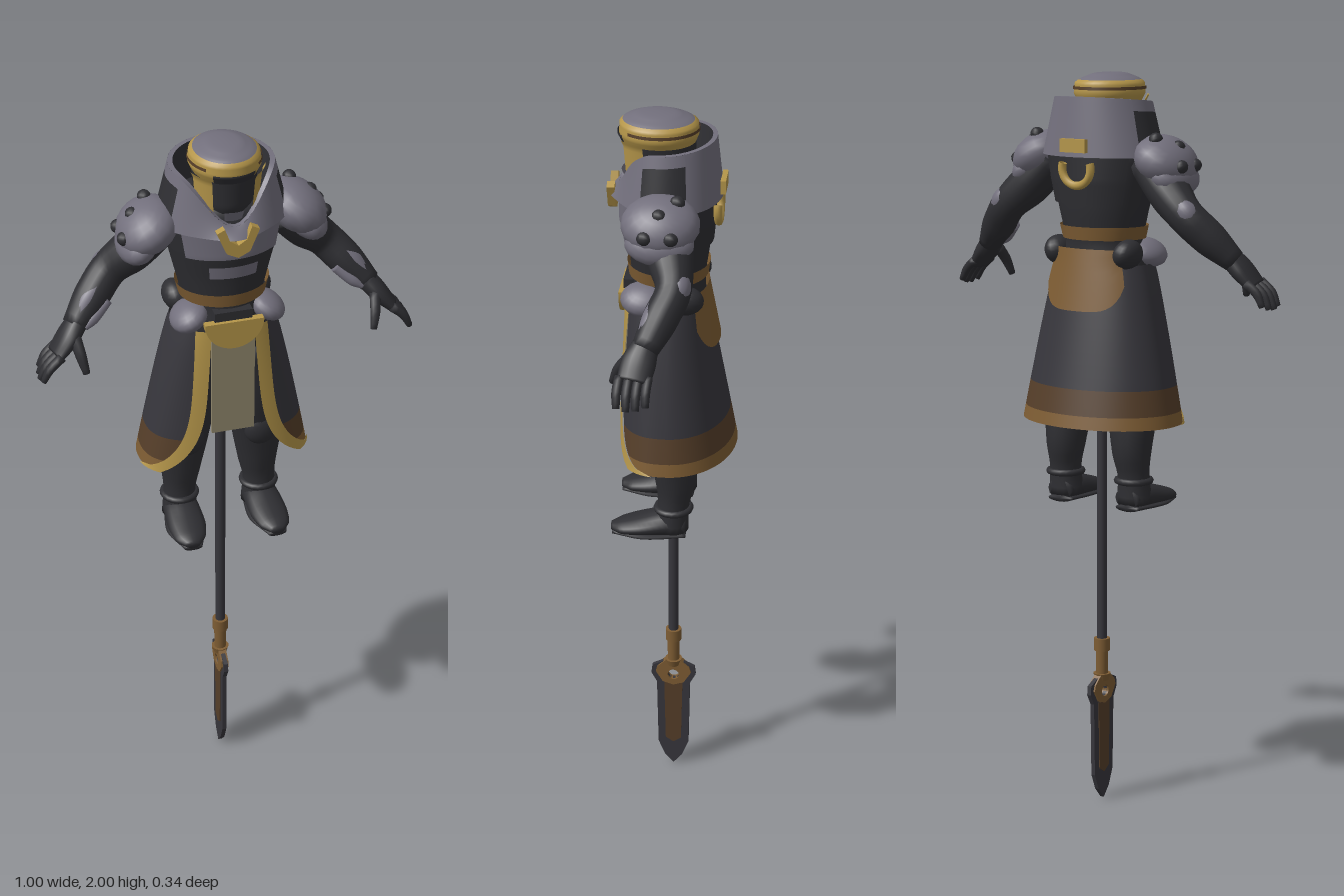
import * as THREE from 'three';
import { mergeVertices } from 'three/addons/utils/BufferGeometryUtils.js';

const paint = (name, color) => {
  const m = new THREE.MeshStandardMaterial({ color, side: THREE.DoubleSide });
  m.name = name;
  return m;
};
const PI = Math.PI;

// Smooth surface from a rule f(u, v) -> [x, y, z]
function grid(f, nu, nv) {
  const pos = [], idx = [];
  for (let j = 0; j <= nv; j++) for (let i = 0; i <= nu; i++) pos.push(...f(i / nu, j / nv));
  for (let j = 0; j < nv; j++) for (let i = 0; i < nu; i++) {
    const a = j * (nu + 1) + i, b = a + 1, c = a + nu + 1, d = c + 1;
    idx.push(a, b, d, a, d, c);
  }
  let g = new THREE.BufferGeometry();
  g.setAttribute('position', new THREE.Float32BufferAttribute(pos, 3));
  g.setIndex(idx);
  g = mergeVertices(g, 1e-5);
  g.computeVertexNormals();
  return g;
}

// Closed limb through [x, y, z, radiusA, radiusB] points
function limb(pts, ref = [0, 0, 1], nu = 16, nv = 20) {
  const path = new THREE.CatmullRomCurve3(pts.map(p => new THREE.Vector3(p[0], p[1], p[2])));
  const size = new THREE.CatmullRomCurve3(pts.map(p => new THREE.Vector3(p[3], p[4], 0)));
  const R = new THREE.Vector3(...ref);
  return grid((u, v) => {
    const t = Math.min(1, Math.max(0, (v * nv - 1) / (nv - 2)));
    const end = v === 0 || v === 1 ? 0 : 1;
    const p = path.getPoint(t), s = size.getPoint(t), T = path.getTangent(t);
    const A = new THREE.Vector3().crossVectors(T, R).normalize();
    const B = new THREE.Vector3().crossVectors(T, A);
    p.addScaledVector(A, end * s.x * Math.cos(u * 2 * PI)).addScaledVector(B, end * s.y * Math.sin(u * 2 * PI));
    return [p.x, p.y, p.z];
  }, nu, nv);
}

// Body of oval sections [y, rx, rz, cz]; angle 0 faces the front
const body = table => (a, y, off = 0) => {
  let i = 0;
  while (i < table.length - 2 && y > table[i + 1][0]) i++;
  const p = table[i], q = table[i + 1];
  const t = Math.min(1, Math.max(0, (y - p[0]) / (q[0] - p[0])));
  const s = k => p[k] + (q[k] - p[k]) * t;
  return [(s(1) + off) * Math.sin(a), y, s(3) + (s(2) + off) * Math.cos(a)];
};
const patch = (f, a0, a1, y0, y1, off = 0, nu = 32, nv = 14) =>
  grid((u, v) => f(a0 + (a1 - a0) * u, y0 + (y1 - y0) * v, off), nu, nv);

const ball = (x, y, z, rx, ry, rz, tilt = 0, n = 18) =>
  new THREE.SphereGeometry(1, n, Math.ceil(n * 0.7)).scale(rx, ry, rz).rotateZ(tilt).translate(x, y, z);

function plate(points, depth, hole) {
  const s = new THREE.Shape(points.map(p => new THREE.Vector2(...p)));
  if (hole) s.holes.push(new THREE.Path().absarc(0, hole[0], hole[1], 0, 2 * PI, true));
  return new THREE.ExtrudeGeometry(s, { depth, bevelEnabled: false, curveSegments: 16 }).translate(0, 0, -depth / 2);
}
const both = half => [...half, ...half.slice().reverse().filter(p => p[0] !== 0).map(p => [-p[0], p[1]])];

function mirrored(g) {
  const m = g.toNonIndexed().scale(-1, 1, 1);
  for (const { itemSize: n, count, array: a } of Object.values(m.attributes)) {
    for (let i = 0; i < count; i += 3) for (let k = 0; k < n; k++) {
      const p = (i + 1) * n + k, q = p + n;
      [a[p], a[q]] = [a[q], a[p]];
    }
  }
  return m;
}

export function createModel() {
  const dark = paint('dark suit', 0x2e2e32), cloth = paint('robe cloth', 0x37363c);
  const grey = paint('grey armour', 0x726f7c), gold = paint('gold trim', 0xb5964a);
  const bronze = paint('bronze', 0x7d5c33), brown = paint('brown leather', 0x553e29);
  const khaki = paint('khaki cloth', 0x8f866c);
  const root = new THREE.Group();
  const add = (name, g, m) => {
    const mesh = new THREE.Mesh(g, m);
    mesh.name = name;
    root.add(mesh);
  };
  const pair = (name, g, m) => { add(name + 'Left', g, m); add(name + 'Right', mirrored(g), m); };

  // Torso and its armour
  const torso = body([[1.42, 0.13, 0.1, 0.01], [1.5, 0.125, 0.1, 0.015], [1.56, 0.105, 0.095, 0.012],
    [1.64, 0.125, 0.105, 0.01], [1.72, 0.145, 0.115, 0.012], [1.79, 0.16, 0.115, 0.012],
    [1.84, 0.14, 0.1, 0.01], [1.86, 0.06, 0.06, 0.01]]);
  add('torso', patch(torso, 0, 2 * PI, 1.42, 1.86, 0, 40, 24), dark);
  add('chestPlate', patch(torso, -0.85, 0.85, 1.715, 1.81, 0.012), grey);
  add('abdomenPlate', patch(torso, -0.45, 0.45, 1.655, 1.69, 0.01), grey);
  add('backPlate', patch(torso, PI - 0.9, PI + 0.9, 1.66, 1.8, 0.008), dark);
  add('belt', patch(torso, 0, 2 * PI, 1.565, 1.6, 0.008, 40, 3), bronze);
  add('chestChevron', plate(both([[0, 1.735], [0.03, 1.75], [0.055, 1.81], [0.035, 1.82], [0.022, 1.785], [0, 1.77]]), 0.02)
    .translate(0, 0, 0.155), gold);
  add('backCrescent', new THREE.TorusGeometry(0.045, 0.011, 8, 24, PI * 1.2).rotateZ(-PI * 1.1)
    .translate(0, 1.755, -0.118), gold);
  add('backClasp', new THREE.BoxGeometry(0.08, 0.035, 0.014).translate(0, 1.815, -0.13), gold);

  // Standing collar, low at the front
  const rim = a => 1.93 - 0.01 * Math.cos(a) - 0.11 * Math.max(0, Math.cos(a)) ** 4;
  const collar = (r0, r1, lo) => (a, t) => {
    const rx = r0[0] + (r1[0] - r0[0]) * t, rz = r0[1] + (r1[1] - r0[1]) * t;
    const nose = 0.022 * Math.max(0, Math.cos(a)) ** 12 * (1 - t * 0.5);
    return [rx * Math.sin(a), lo + (rim(a) - lo) * t, 0.008 + rz * Math.cos(a) + nose];
  };
  const outer = collar([0.172, 0.137], [0.135, 0.12], 1.785);
  const lining = collar([0.1, 0.095], [0.122, 0.108], 1.8);
  add('collarFront', patch(outer, -1.1, 1.1, 0, 1), grey);
  add('collarBack', patch(outer, 2.0, 2 * PI - 2.0, 0, 1), grey);
  pair('collarSide', patch(outer, 1.1, 2.0, 0, 0.8), dark);
  pair('collarSideRim', patch(outer, 1.1, 2.0, 0.8, 1), grey);
  add('collarLip', grid((u, v) => {
    const p = outer(u * 2 * PI, 1), q = lining(u * 2 * PI, 1);
    return p.map((c, k) => c + (q[k] - c) * v);
  }, 48, 1), grey);
  add('collarLining', patch(lining, 0, 2 * PI, 0, 1, 0, 48, 6), dark);

  // Helmet
  const helm = body([[1.8, 0.06, 0.07, 0.03], [1.85, 0.075, 0.09, 0.032], [1.925, 0.082, 0.093, 0.035],
    [1.945, 0.092, 0.102, 0.036], [1.975, 0.088, 0.1, 0.036], [1.985, 0.07, 0.083, 0.038],
    [1.997, 0.04, 0.05, 0.038], [2, 0, 0, 0.038]]);
  add('face', patch(helm, 0, 2 * PI, 1.8, 1.925), dark);
  add('helmetBand', patch(helm, 0, 2 * PI, 1.925, 1.98, 0, 36, 8), gold);
  add('helmetBandGroove', patch(helm, 0.8, 2 * PI - 0.8, 1.955, 1.963, 0.003, 30, 2), brown);
  add('helmetTop', patch(helm, 0, 2 * PI, 1.98, 2, 0, 36, 8), grey);
  add('visor', patch(helm, -0.6, 0.6, 1.925, 1.95, 0.004), dark);
  pair('cheekGuard', patch(helm, 0.62, 1.25, 1.84, 1.94, 0.012), gold);
  add('chinGuard', patch(helm, -0.3, 0.3, 1.805, 1.845, 0.012), grey);

  // Shoulders
  pair('shoulderPad', ball(0.195, 1.775, 0.012, 0.085, 0.062, 0.1, -0.55), grey);
  pair('shoulderLame', ball(0.222, 1.735, 0.012, 0.058, 0.045, 0.088, -0.7), grey);
  for (const [x, y, z] of [[0.262, 1.765, 0.045], [0.262, 1.765, -0.02], [0.232, 1.812, 0.012], [0.19, 1.833, -0.03]])
    pair('shoulderStud', ball(x, y, z, 0.018, 0.018, 0.02, 0, 10), dark);

  // Arms
  pair('arm', limb([[0.15, 1.77, 0, 0.05, 0.06], [0.22, 1.7, -0.015, 0.056, 0.06], [0.285, 1.64, -0.03, 0.048, 0.046],
    [0.335, 1.588, -0.005, 0.047, 0.046], [0.395, 1.525, 0.03, 0.03, 0.035]]), dark);
  pair('elbowPlate', ball(0.292, 1.652, -0.045, 0.042, 0.032, 0.03, -0.8), grey);
  pair('forearmPlate', limb([[0.315, 1.628, -0.01, 0.02, 0.03], [0.352, 1.592, 0.005, 0.026, 0.036],
    [0.392, 1.545, 0.026, 0.016, 0.028]]), grey);
  pair('forearmInnerPlate', limb([[0.305, 1.578, 0.015, 0.016, 0.02], [0.345, 1.545, 0.035, 0.018, 0.02],
    [0.372, 1.525, 0.045, 0.01, 0.015]]), grey);
  pair('hand', limb([[0.385, 1.535, 0.028, 0.028, 0.034], [0.415, 1.5, 0.042, 0.026, 0.044],
    [0.448, 1.463, 0.052, 0.018, 0.042]]), dark);
  for (let i = 0; i < 4; i++) {
    const z = 0.016 + i * 0.024, len = [0.86, 0.97, 1, 0.92][i];
    pair('finger', limb([[0.44, 1.472, z, 0.013, 0.012], [0.44 + 0.035 * len, 1.472 - 0.03 * len, z + 0.003, 0.012, 0.012],
      [0.44 + 0.055 * len, 1.472 - 0.068 * len, z + 0.002, 0.008, 0.009]], undefined, 8, 8), dark);
  }
  pair('thumb', limb([[0.4, 1.51, 0.065, 0.016, 0.016], [0.392, 1.47, 0.095, 0.014, 0.014],
    [0.383, 1.428, 0.112, 0.009, 0.009]], undefined, 8, 8), dark);

  // Robe skirt, open at the front, with trim and hem bands (t runs from waist to hem)
  const top = 1.5, bottom = 1.075;
  const halfWidth = t => 0.135 + 0.095 * Math.max(0, t) ** 0.85;
  const robe = (a, t, off = 0) => {
    const rx = halfWidth(t) + off, front = 0.12 + 0.018 * t + off, back = 0.09 + 0.082 * t + off;
    const s = Math.sin(a), c = Math.cos(a), p = c > 0 ? 0.75 : 1;
    return [rx * Math.sign(s) * Math.abs(s) ** p, top + (bottom - top) * t, c > 0 ? front * c ** 0.75 : back * c];
  };
  const edge = (t, w) => {
    const x = 0.055 + 0.03 * t + 0.105 * Math.max(0, t) ** 6 + w;
    return Math.asin(Math.min(1, x / halfWidth(t)) ** (1 / 0.75));
  };
  const robeBand = (t0, t1) => grid((u, v) => {
    const t = t1 + (t0 - t1) * v, a = edge(t, 0.035);
    return robe(a + (2 * PI - 2 * a) * u, t);
  }, 64, 10);
  add('robe', robeBand(0, 0.76), cloth);
  add('robeHemUpper', robeBand(0.76, 0.92), brown);
  add('robeHemLower', robeBand(0.92, 1), bronze);
  pair('robeTrim', grid((u, v) => {
    const t = 1 - v, a = edge(t, 0), b = edge(t, 0.038);
    return robe(a + (b - a) * u, t, 0.004);
  }, 6, 32), gold);
  add('backFlap', grid((u, v) => {
    const s = 2 * u - 1, low = 0.28 - 0.16 * s ** 4;
    return robe(PI + s * 0.85, low + (-0.1 - low) * v, 0.012);
  }, 20, 8), bronze);

  // Tabard, buckle and hip armour
  add('tabard', new THREE.BoxGeometry(0.115, 0.3, 0.009).translate(0, 1.34, 0.118), khaki);
  const buckle = new THREE.Shape().absarc(0, 0, 0.078, PI, 2 * PI, false);
  add('buckle', new THREE.ExtrudeGeometry(buckle, { depth: 0.02, bevelEnabled: false, curveSegments: 20 })
    .translate(0, 1.53, 0.115), gold);
  add('buckleTop', new THREE.BoxGeometry(0.1, 0.03, 0.03).translate(0, 1.54, 0.11), dark);
  pair('hipPlate', ball(0.103, 1.527, 0.065, 0.052, 0.034, 0.062, -0.5), grey);
  pair('hipPouch', ball(0.11, 1.53, -0.04, 0.035, 0.04, 0.05, -0.3), dark);

  // Legs and boots
  pair('leg', limb([[0.07, 1.4, 0, 0.065, 0.075], [0.085, 1.25, 0, 0.072, 0.075], [0.103, 1.11, -0.008, 0.07, 0.062],
    [0.108, 1.0, -0.016, 0.054, 0.054], [0.112, 0.93, -0.012, 0.044, 0.042], [0.112, 0.86, -0.008, 0.05, 0.045]]), dark);
  pair('kneePlate', ball(0.1, 1.125, 0.04, 0.045, 0.05, 0.028), dark);
  pair('bootCuff', new THREE.TorusGeometry(0.045, 0.009, 8, 20).rotateX(PI / 2).translate(0.112, 0.92, -0.012), dark);
  pair('boot', limb([[0.11, 0.872, -0.045, 0.036, 0.03], [0.112, 0.877, 0, 0.048, 0.036], [0.115, 0.868, 0.07, 0.052, 0.027],
    [0.118, 0.86, 0.125, 0.042, 0.019], [0.118, 0.857, 0.155, 0.018, 0.01]], [0, 1, 0]), dark);
  pair('sole', limb([[0.11, 0.847, -0.045, 0.036, 0.009], [0.115, 0.847, 0.06, 0.053, 0.009],
    [0.118, 0.847, 0.152, 0.025, 0.008]], [0, 1, 0]), dark);

  // Spear, point down
  const rod = (r0, r1, y0, y1) => new THREE.CylinderGeometry(r1, r0, y1 - y0, 16).translate(0, (y0 + y1) / 2, 0);
  add('shaft', rod(0.014, 0.014, 0.44, 1.45), cloth);
  add('socket', rod(0.016, 0.018, 0.34, 0.45), bronze);
  add('socketTopRing', rod(0.022, 0.022, 0.425, 0.46), bronze);
  add('socketLowRing', rod(0.018, 0.024, 0.34, 0.36), bronze);
  const side = g => g.rotateY(PI / 2);
  add('blade', side(plate(both([[0, 0], [0.025, 0.03], [0.043, 0.075], [0.047, 0.28], [0.063, 0.31], [0.06, 0.335],
    [0.03, 0.35]]), 0.012, [0.31, 0.016])), cloth);
  add('bladeGuard', side(plate(both([[0, 0.275], [0.03, 0.285], [0.05, 0.318], [0.045, 0.335], [0.02, 0.358]]),
    0.022, [0.31, 0.016])), bronze);
  add('bladeInlay', side(plate(both([[0, 0.075], [0.022, 0.09], [0.026, 0.28]]), 0.016)), brown);
  return root;
}
